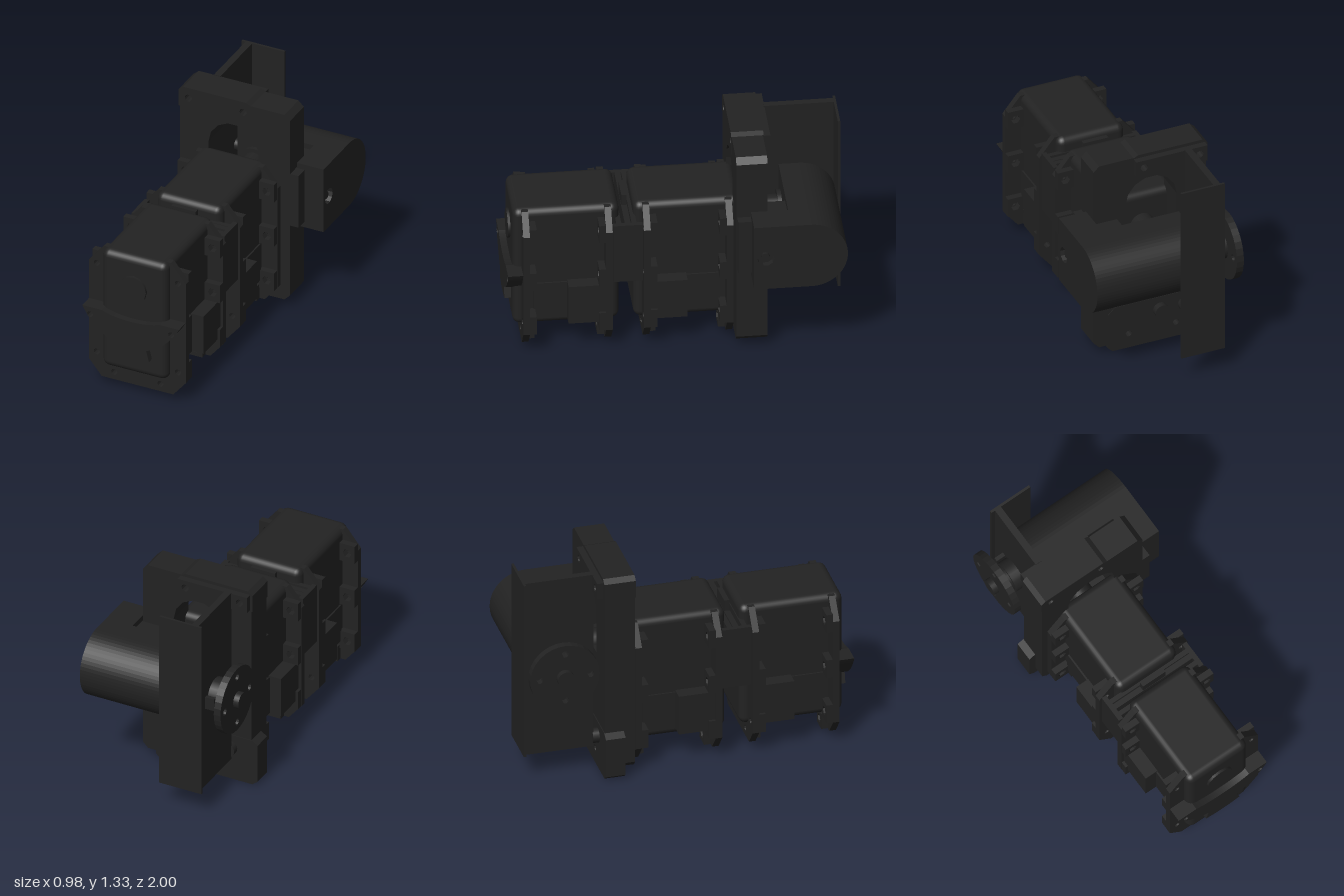
import * as THREE from 'three';
import { RoundedBoxGeometry } from 'three/addons/geometries/RoundedBoxGeometry.js';

const material = new THREE.MeshStandardMaterial({ color: 0x222222 });
const CX = -0.07; // centre line of the two actuators

function add(parent, name, geometry) {
  const mesh = new THREE.Mesh(geometry, material);
  mesh.name = name;
  parent.add(mesh);
  return mesh;
}
// box given by its limits on each axis
function box(parent, name, x0, x1, y0, y1, z0, z1) {
  const g = new THREE.BoxGeometry(x1 - x0, y1 - y0, z1 - z0);
  return add(parent, name, g.translate((x0 + x1) / 2, (y0 + y1) / 2, (z0 + z1) / 2));
}
function outline(points) {
  return new THREE.Shape(points.map(([x, y]) => new THREE.Vector2(x, y)));
}
// holes are [x, y, radius]
function drill(shape, holes, sides = 10) {
  for (const [x, y, r] of holes) {
    const pts = [];
    for (let i = 0; i < sides; i++) {
      const a = (-i / sides) * Math.PI * 2;
      pts.push(new THREE.Vector2(x + r * Math.cos(a), y + r * Math.sin(a)));
    }
    shape.holes.push(new THREE.Path(pts));
  }
  return shape;
}
function prism(shape, z0, z1) {
  return new THREE.ExtrudeGeometry(shape, { depth: z1 - z0, bevelEnabled: false, curveSegments: 16 }).translate(0, 0, z0);
}
// prism along x; the shape is drawn in (-z, y)
function prismX(shape, x0, x1) {
  return prism(shape, x0, x1).rotateY(Math.PI / 2);
}
function rod(parent, name, axis, r, a, b, p, q, sides = 24) {
  const g = new THREE.CylinderGeometry(r, r, b - a, sides);
  if (axis === 'x') g.rotateZ(Math.PI / 2).translate((a + b) / 2, p, q);
  else g.rotateX(Math.PI / 2).translate(p, q, (a + b) / 2);
  return add(parent, name, g);
}

// actuator with screw flanges at both ends; x is relative to its centre line
function actuator(name) {
  const g = new THREE.Group();
  g.name = name;
  add(g, 'actuatorCase', new RoundedBoxGeometry(0.43, 0.8, 0.63, 3, 0.045).translate(0, 0.555, 0.645));
  const screws = [[-0.267, 0.82], [0.267, 0.82], [-0.267, 0.515], [0.267, 0.515],
    [-0.267, 0.21], [0.267, 0.21], [-0.152, 0.1], [0.152, 0.1]];
  for (const [plate0, tab0] of [[0.87, 0.83], [0.38, 0.42]]) {
    const flange = outline([[-0.235, 0.05], [0.235, 0.05], [0.318, 0.15], [0.318, 0.83],
      [0.22, 0.95], [-0.22, 0.95], [-0.318, 0.83], [-0.318, 0.15]]);
    drill(flange, screws.map(([x, y]) => [x, y, 0.02]));
    add(g, 'flange', prism(flange, plate0, plate0 + 0.04));
    for (const [x, y] of screws) {
      const h = y < 0.15 ? 0.05 : 0.06;
      const tab = outline([[x - 0.05, y - h], [x + 0.05, y - h], [x + 0.05, y + h], [x - 0.05, y + h]]);
      add(g, 'screwTab', prism(drill(tab, [[x, y, 0.028]], 6), tab0, tab0 + 0.04));
    }
  }
  // cable sockets on both sides
  for (const s of [-1, 1]) {
    box(g, 'cableSocket', s * 0.25 - 0.05, s * 0.25 + 0.05, 0.2, 0.455, 0.42, 0.64);
    box(g, 'socketSill', s * 0.215 - 0.01, s * 0.215 + 0.01, 0.2, 0.445, 0.64, 0.84);
  }
  return g;
}

// curved cover and horn cap on the front actuator
function frontCover(parent) {
  const cover = new THREE.Shape();
  cover.moveTo(-0.318, 0.565);
  cover.quadraticCurveTo(-0.24, 0.42, -0.1, 0.36);
  cover.lineTo(0.1, 0.36);
  cover.quadraticCurveTo(0.24, 0.42, 0.318, 0.565);
  cover.lineTo(0.19, 0.565);
  cover.quadraticCurveTo(0.11, 0.535, 0, 0.535);
  cover.quadraticCurveTo(-0.11, 0.535, -0.19, 0.565);
  drill(cover, [[-0.267, 0.515, 0.02], [0.267, 0.515, 0.02]]);
  add(parent, 'frontCover', prism(cover, 0.91, 1));
  const tongue = outline([[-0.12, 0.29], [-0.04, 0.277], [0.04, 0.277], [0.12, 0.29], [0.1, 0.37], [-0.1, 0.37]]);
  add(parent, 'coverTongue', prism(tongue, 0.94, 1));
  rod(parent, 'hornCap', 'z', 0.088, 0.94, 0.975, 0, 0.74, 12);
}

export function createModel() {
  const model = new THREE.Group();
  model.name = 'actuatorAssembly';

  // two actuators back to back
  const front = actuator('frontActuator');
  frontCover(front);
  front.position.x = CX;
  const rear = actuator('rearActuator');
  rear.rotation.y = Math.PI;
  rear.position.set(CX, 0, 0.575);
  model.add(front, rear);

  // coupling between them
  const coupling = new THREE.Group();
  coupling.name = 'coupling';
  model.add(coupling);
  for (const z of [0.235, 0.325]) box(coupling, 'couplingPlate', -0.35, 0.21, 0.475, 0.865, z, z + 0.03);
  box(coupling, 'couplingWeb', -0.35, 0.21, 0.475, 0.865, 0.27, 0.305);
  for (const x of [-0.375, 0.205]) box(coupling, 'couplingSide', x, x + 0.03, 0.475, 0.865, 0.2, 0.375);
  box(coupling, 'couplingTab', -0.15, 0.01, 0.86, 0.935, 0.272, 0.303);

  // mounting plate with an arched window
  const topHoles = [[-0.36, 1.265, 0.024], [0, 1.265, 0.024]];
  const lowHoles = [[-0.222, 0.1, 0.02], [0.082, 0.1, 0.02]];
  const plate = outline([[-0.385, 0.05], [0.27, 0.05], [0.305, 0.085], [0.305, 1.285], [0.27, 1.32],
    [0.05, 1.32], [0.02, 1.335], [-0.395, 1.335], [-0.418, 1.31], [-0.418, 0.085]]);
  const arch = new THREE.Path();
  arch.moveTo(0.1, 0.75);
  arch.lineTo(0.1, 1.0);
  for (let i = 1; i <= 7; i++) {
    const a = (i / 7) * Math.PI;
    arch.lineTo(-0.065 + 0.165 * Math.cos(a), 1.0 + 0.165 * Math.sin(a));
  }
  arch.lineTo(-0.23, 0.75);
  plate.holes.push(arch);
  add(model, 'mountingPlate', prism(drill(plate, [...topHoles, ...lowHoles]), -0.53, -0.345));

  // lugs on the plate
  const topLug = outline([[-0.425, 1.2], [0.05, 1.2], [0.05, 1.32], [0.02, 1.335], [-0.395, 1.335], [-0.425, 1.31]]);
  add(model, 'topLug', prism(drill(topLug, topHoles), -0.535, -0.343));
  const lowLug = outline([[-0.425, 0.003], [0.185, 0.003], [0.215, 0.03], [0.215, 0.26], [0.17, 0.305],
    [-0.42, 0.305], [-0.46, 0.28], [-0.46, 0.03]]);
  add(model, 'lowerLug', prism(drill(lowLug, lowHoles), -0.535, -0.415));
  for (const [y, n] of [[1.26, 'upper'], [0.22, 'lower']]) {
    for (const x of [-0.28, -0.12]) rod(model, n + 'Standoff', 'z', 0.045, -0.575, -0.53, x, y, 16);
  }
  const strip = outline([[-0.41, 1.21], [0.05, 1.21], [0.05, 1.315], [-0.41, 1.315]]);
  add(model, 'upperSpacer', prism(drill(strip, topHoles), -0.575, -0.53));

  // rear output horn facing the motor
  rod(model, 'outputNeck', 'z', 0.075, -0.64, -0.33, CX, 0.74);
  rod(model, 'outputHorn', 'z', 0.1, -0.65, -0.625, CX, 0.74);

  // upright angle bar
  box(model, 'angleBarWall', -0.305, -0.262, 0.165, 1.32, -1, -0.57);
  box(model, 'angleBarBack', -0.33, -0.05, 0.165, 1.32, -1, -0.985);
  box(model, 'angleBarPin', -0.365, -0.3, 0.7, 0.78, -0.905, -0.88);

  // motor with a rounded back
  const half = (u0) => {
    const s = new THREE.Shape();
    s.moveTo(u0, 0.525);
    s.lineTo(0.77, 0.525);
    s.absarc(0.77, 0.74, 0.215, -Math.PI / 2, Math.PI / 2, false);
    s.lineTo(u0, 0.955);
    return s;
  };
  add(model, 'motorBody', prismX(half(0.65), -0.19, 0.315));
  add(model, 'gearHousing', prismX(drill(half(0.43), [[0.5, 0.737, 0.05]]), 0.31, 0.485));
  rod(model, 'housingScrew', 'x', 0.05, 0.31, 0.45, 0.737, -0.5, 10);
  rod(model, 'screwSocket', 'x', 0.026, 0.44, 0.47, 0.737, -0.5, 6);
  box(model, 'motorBracket', 0.155, 0.315, 0.565, 0.92, -0.66, -0.43);
  box(model, 'motorBracketFoot', 0.2, 0.36, 0.565, 0.92, -0.45, -0.35);

  // horn disc on the side shaft
  rod(model, 'shaft', 'x', 0.038, -0.31, -0.18, 0.74, -0.783);
  rod(model, 'hornBoss', 'x', 0.1, -0.37, -0.3, 0.74, -0.775);
  rod(model, 'hornCollar', 'x', 0.085, -0.415, -0.36, 0.74, -0.78);
  const disc = new THREE.Shape();
  disc.absarc(0.783, 0.74, 0.212, 0, Math.PI * 2, false);
  drill(disc, [0, 1, 2, 3].map((i) => [0.783 + 0.155 * Math.cos(i * Math.PI / 2), 0.74 + 0.155 * Math.sin(i * Math.PI / 2), 0.022]));
  add(model, 'hornDisc', prismX(disc, -0.455, -0.41));
  rod(model, 'hornHub', 'x', 0.052, -0.49, -0.42, 0.74, -0.783);

  return model;
}
